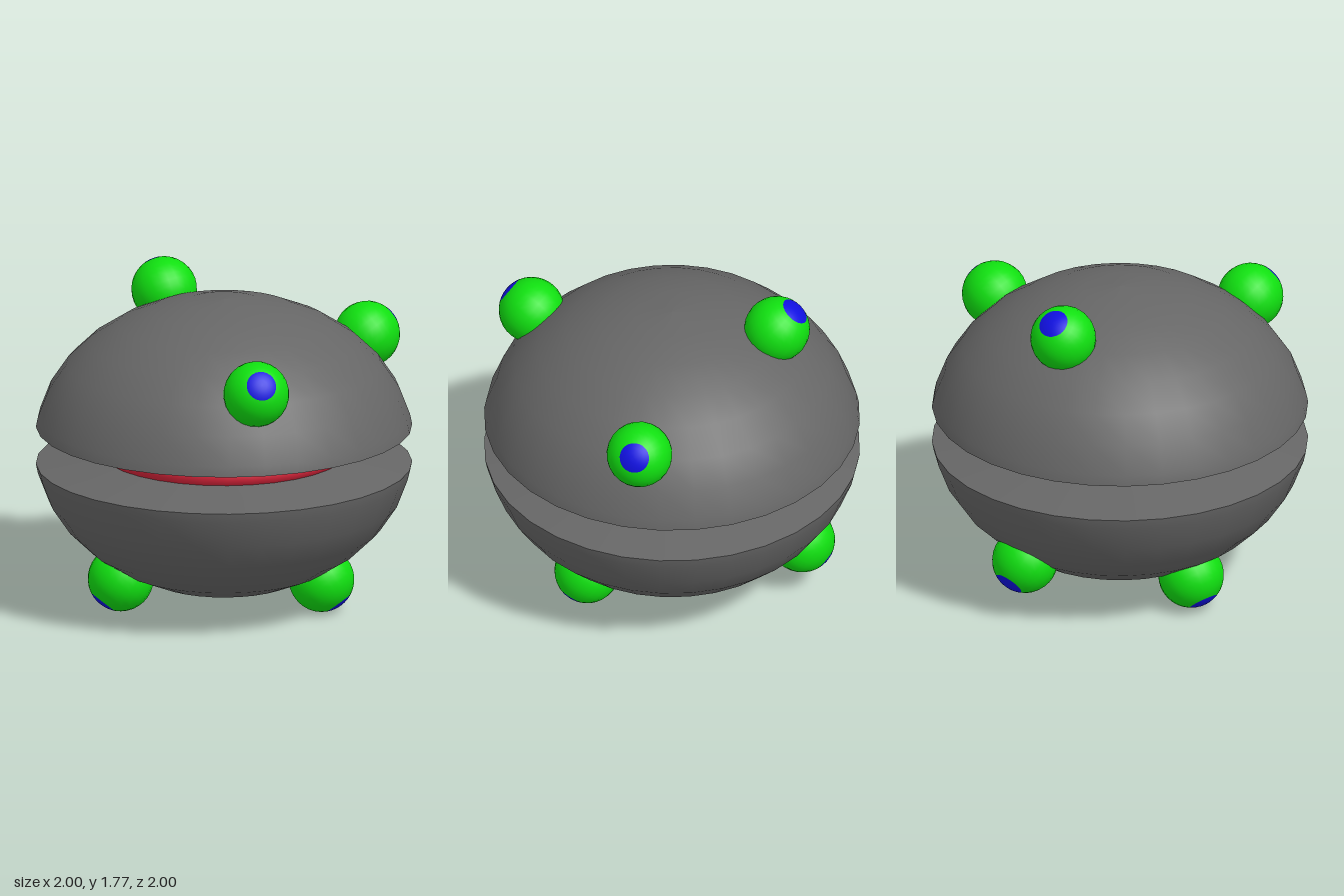
import * as THREE from 'three';

const MID = 0.883;          // height of the gap's centre plane
const SEGMENTS = 32;

const grey = new THREE.MeshStandardMaterial({ name: 'shellGrey', color: 0x666666 });
const red = new THREE.MeshStandardMaterial({ name: 'coreRed', color: 0xd9243a });
const green = new THREE.MeshStandardMaterial({ name: 'eyeGreen', color: 0x10e010 });
const blue = new THREE.MeshStandardMaterial({ name: 'pupilBlue', color: 0x1010e0 });

function mesh(name, geometry, material) {
  const m = new THREE.Mesh(geometry, material);
  m.name = name;
  return m;
}

// Lathe from [radius, height above the centre plane]; side -1 mirrors it downward
function lathe(points, side) {
  const pts = points.map(([r, y]) => new THREE.Vector2(r, MID + side * y));
  if (side < 0) pts.reverse();
  return new THREE.LatheGeometry(pts, SEGMENTS);
}

// Half shell: elliptical dome plus a shallow conical lip facing the gap
function createShell(name, side) {
  const dome = [];
  for (const deg of [7.3, 11.25, 22.5, 33.75, 45, 56.25, 67.5, 78.75, 90]) {
    const a = THREE.MathUtils.degToRad(deg);
    dome.push([deg === 90 ? 0 : 1.008 * Math.cos(a), 0.8 * Math.sin(a)]);
  }
  const lip = [[0.5, 0.016], [0.67, 0.046], dome[0]];
  const shell = new THREE.Group();
  shell.name = name;
  shell.add(mesh('dome', lathe(dome, side), grey), mesh('lip', lathe(lip, side), grey));
  return shell;
}

// Ball with a round pupil on its outward pole
function createEye(name, position) {
  const R = 0.175, cap = THREE.MathUtils.degToRad(27);
  const eye = new THREE.Group();
  eye.name = name;
  eye.add(
    mesh('eyeball', new THREE.SphereGeometry(R, 24, 14, 0, Math.PI * 2, cap, Math.PI - cap), green),
    mesh('pupil', new THREE.SphereGeometry(R, 24, 3, 0, Math.PI * 2, 0, cap), blue)
  );
  eye.position.set(...position);
  const outward = eye.position.clone().sub(new THREE.Vector3(0, MID, 0)).normalize();
  eye.quaternion.setFromUnitVectors(new THREE.Vector3(0, 1, 0), outward);
  return eye;
}

export function createModel() {
  const model = new THREE.Group();
  model.name = 'eyedCapsule';

  model.add(createShell('upperShell', 1), createShell('lowerShell', -1));

  // Red core showing through the gap
  const core = [[0.62, -0.07], [0.655, -0.045], [0.67, -0.015], [0.67, 0.015], [0.655, 0.045], [0.62, 0.07]];
  model.add(mesh('core', lathe(core, 1), red));

  // Three eyes above, three below
  const eyes = {
    upperFrontEye: [0.583, 1.395, 0.607],
    upperRightEye: [-0.514, 1.605, -0.222],
    upperBackEye: [0.431, 1.376, -0.744],
    lowerFrontEye: [-0.37, 0.19, 0.443],
    lowerLeftEye: [0.522, 0.18, -0.142],
    lowerBackEye: [-0.59, 0.315, -0.415],
  };
  for (const [name, position] of Object.entries(eyes)) model.add(createEye(name, position));

  return model;
}
